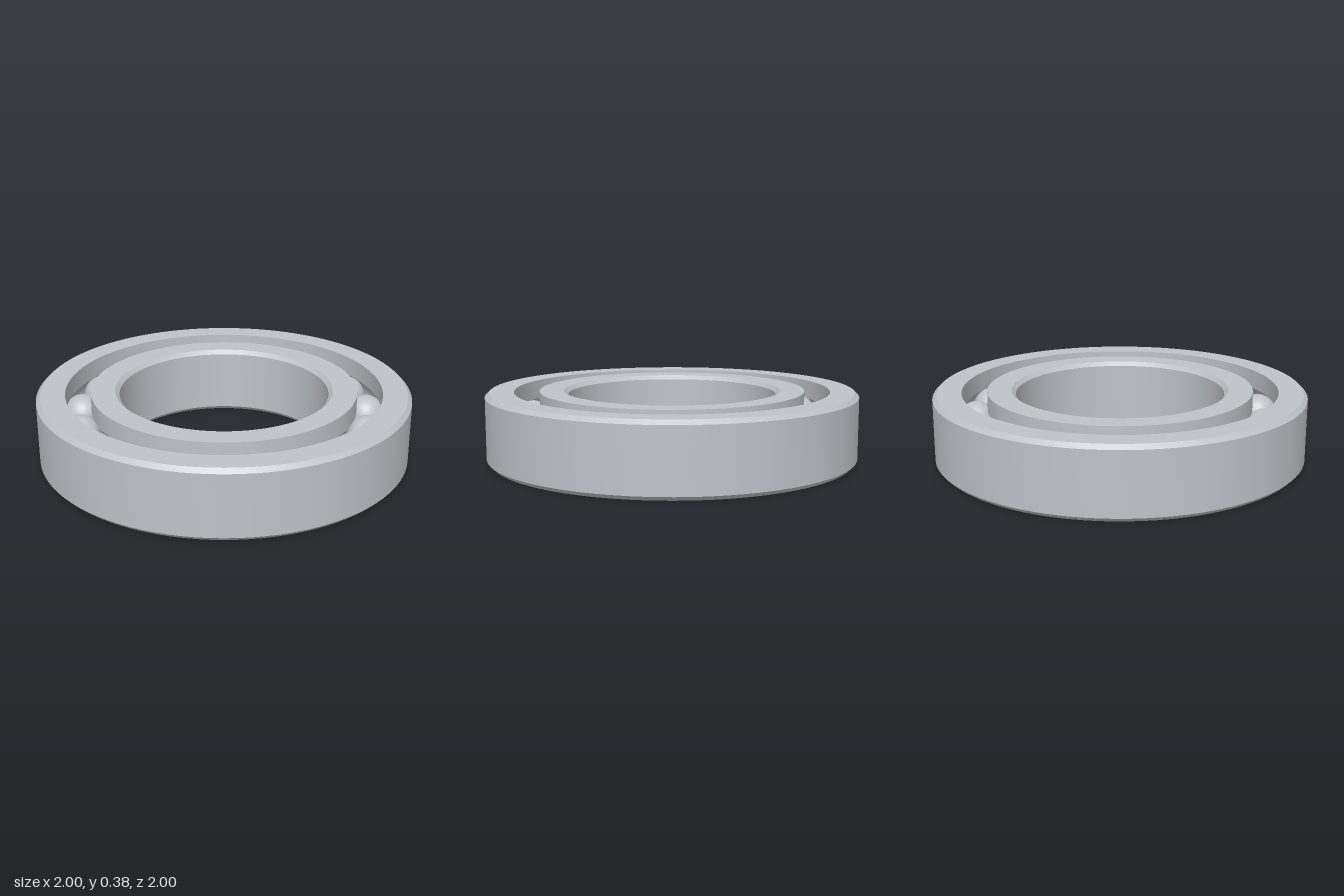
import * as THREE from 'three';
import { toCreasedNormals } from 'three/addons/utils/BufferGeometryUtils.js';

const HEIGHT = 0.375, MID = HEIGHT / 2, CHAMFER = 0.022;
const PITCH = 0.78, BALL_RADIUS = 0.105, BALL_COUNT = 17;
const GROOVE = 0.107;

// Ring with a chamfered plain wall and a round raceway in the wall facing the balls.
// The profile runs up the plain wall, then down past the raceway.
function ringGeometry(plainR, raceR) {
  const out = Math.sign(plainR - raceR); // +1 for the outer ring, -1 for the inner
  const cut = plainR - out * CHAMFER;
  const profile = [
    [raceR, 0], [cut, 0], [plainR, CHAMFER],
    [plainR, HEIGHT - CHAMFER], [cut, HEIGHT], [raceR, HEIGHT],
  ];
  const edge = Math.acos(Math.abs(raceR - PITCH) / GROOVE);
  const steps = 12;
  for (let i = 0; i <= steps; i++) {
    const a = edge * (1 - (2 * i) / steps);
    profile.push([PITCH + out * GROOVE * Math.cos(a), MID + GROOVE * Math.sin(a)]);
  }
  profile.push([raceR, 0]);
  if (out < 0) profile.reverse();
  const points = profile.map(([r, y]) => new THREE.Vector2(r, y));
  return toCreasedNormals(new THREE.LatheGeometry(points, 96), 0.45);
}

export function createModel() {
  const model = new THREE.Group();
  model.name = 'ballBearing';
  const steel = new THREE.MeshStandardMaterial({ color: 0xbfc3c8 });
  steel.name = 'steel';

  const add = (name, geometry, parent = model) => {
    const mesh = new THREE.Mesh(geometry, steel);
    mesh.name = name;
    parent.add(mesh);
    return mesh;
  };

  // Races
  add('outerRing', ringGeometry(1, 0.847));
  add('innerRing', ringGeometry(0.56, 0.712));

  // Balls evenly spaced around the raceway
  const balls = new THREE.Group();
  balls.name = 'balls';
  model.add(balls);
  const ballGeometry = new THREE.SphereGeometry(BALL_RADIUS, 32, 20);
  for (let i = 0; i < BALL_COUNT; i++) {
    const a = (i / BALL_COUNT) * Math.PI * 2;
    add(`ball${i + 1}`, ballGeometry, balls)
      .position.set(PITCH * Math.cos(a), MID, PITCH * Math.sin(a));
  }
  return model;
}
